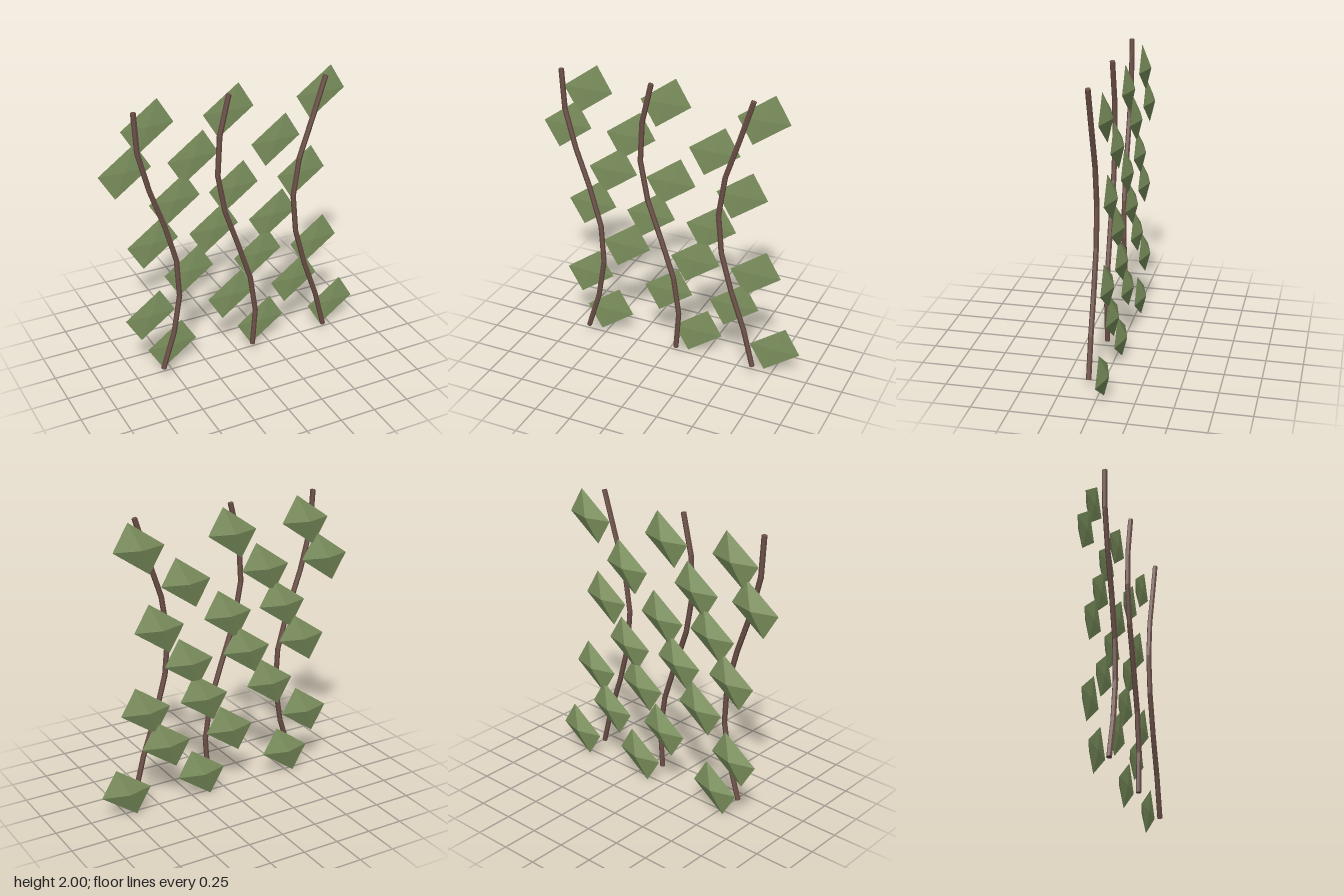
import * as THREE from 'three';

const STEM_TOP = 1.985, STEM_BOTTOM = 0.08, STEM_Z = 0.073, STEM_RADIUS = 0.018;
const LEAF_TOP = 1.823, LEAF_STEP = 0.2743;

// x of each stem's joints, evenly spaced from top to bottom
const stems = [
  [-0.73, -0.715, -0.645, -0.55, -0.475, -0.46, -0.505, -0.59],
  [-0.095, -0.16, -0.175, -0.125, -0.03, 0.06, 0.10, 0.08],
  [0.59, 0.505, 0.415, 0.375, 0.40, 0.475, 0.57, 0.64],
];

// x of each stem's leaves, evenly spaced from top to bottom
const leaves = [
  [-0.60, -0.76, -0.43, -0.59, -0.34, -0.625, -0.475],
  [-0.045, -0.295, -0.01, -0.155, 0.17, -0.025, 0.195],
  [0.62, 0.295, 0.49, 0.28, 0.60, 0.455, 0.755],
];

// Six-sided rod whose rings follow the joints and tilt with the stem
function stemGeometry(xs) {
  const n = xs.length - 1, step = (STEM_TOP - STEM_BOTTOM) / n;
  const geo = new THREE.CylinderGeometry(STEM_RADIUS, STEM_RADIUS, n, 6, n);
  const pos = geo.attributes.position;
  for (let i = 0; i < pos.count; i++) {
    const k = Math.round(n / 2 - pos.getY(i));
    const a = Math.max(k - 1, 0), b = Math.min(k + 1, n);
    const tilt = Math.atan2(xs[a] - xs[b], (b - a) * step);
    const across = pos.getX(i);
    pos.setXYZ(i,
      xs[k] + across * Math.cos(tilt),
      STEM_TOP - k * step - across * Math.sin(tilt),
      STEM_Z + pos.getZ(i));
  }
  geo.computeVertexNormals();
  return geo;
}

// Slanted four-cornered leaf: almost flat in front, a low pyramid behind
function leafGeometry() {
  const geo = new THREE.OctahedronGeometry(1);
  const pos = geo.attributes.position;
  for (let i = 0; i < pos.count; i++) {
    const x = pos.getX(i), y = pos.getY(i), z = pos.getZ(i);
    pos.setXYZ(i, 0.177 * x + 0.071 * y, 0.177 * y, -0.037 + z * (z > 0 ? 0.008 : 0.05));
  }
  geo.computeVertexNormals();
  return geo;
}

export function createModel() {
  const bark = new THREE.MeshStandardMaterial({ color: 0x6b5047, flatShading: true });
  bark.name = 'bark brown';
  const green = new THREE.MeshStandardMaterial({ color: 0x7f9460, flatShading: true });
  green.name = 'leaf green';

  const model = new THREE.Group();
  model.name = 'climbingVines';
  const leafGeo = leafGeometry();

  stems.forEach((xs, v) => {
    const vine = new THREE.Group();
    vine.name = `vine${v + 1}`;
    const stem = new THREE.Mesh(stemGeometry(xs), bark);
    stem.name = 'stem';
    vine.add(stem);
    leaves[v].forEach((x, row) => {
      const leaf = new THREE.Mesh(leafGeo, green);
      leaf.name = `leaf${row + 1}`;
      leaf.position.set(x, LEAF_TOP - row * LEAF_STEP, 0);
      vine.add(leaf);
    });
    model.add(vine);
  });
  return model;
}
